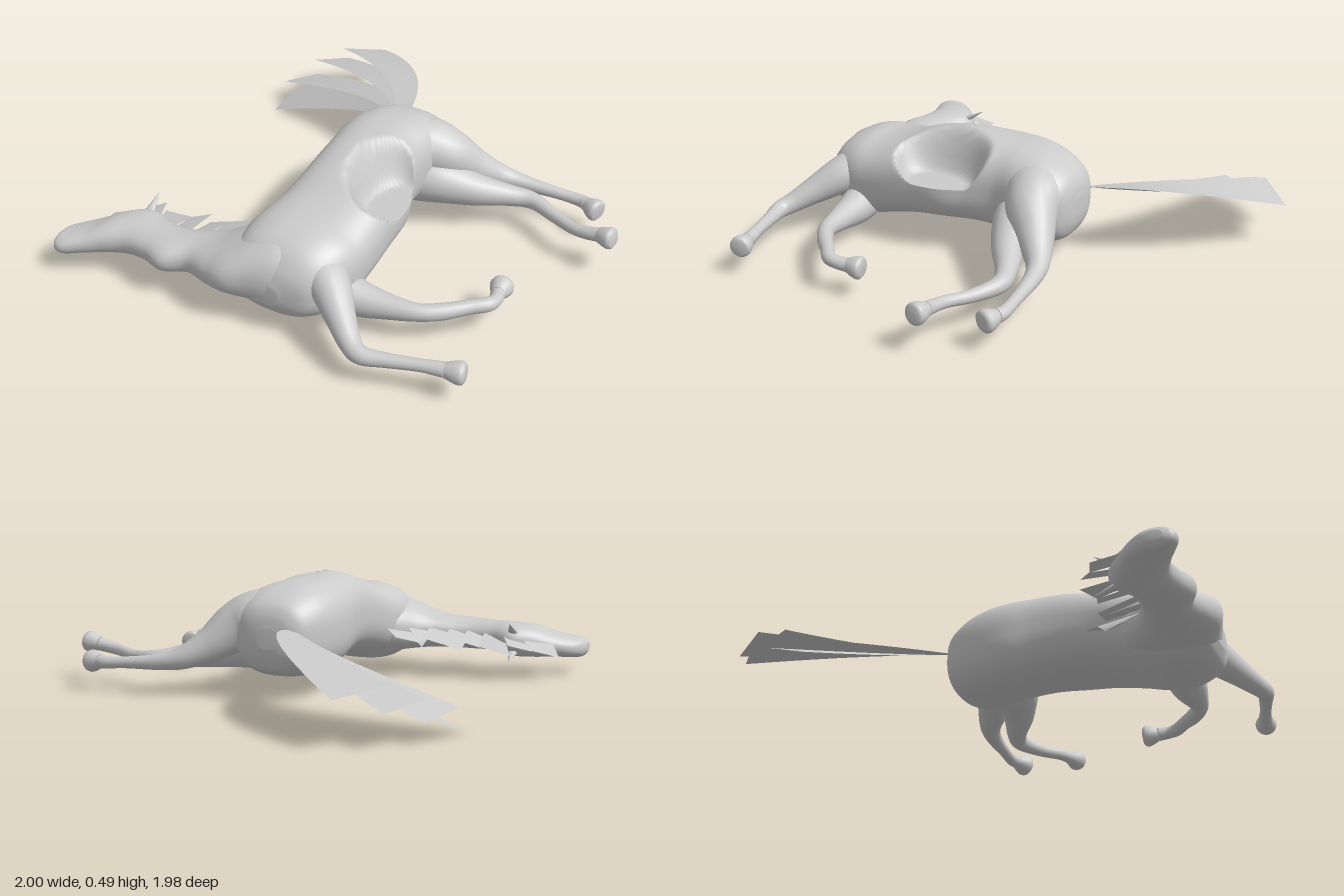
import * as THREE from 'three';

const skin = new THREE.MeshStandardMaterial({ color: 0xcccccc });
const hair = new THREE.MeshStandardMaterial({ color: 0xcccccc, side: THREE.DoubleSide });
const V = (x, y, z) => new THREE.Vector3(x, y, z);
const UP = V(0, 1, 0);

function mesh(name, geometry, material = skin) {
  const m = new THREE.Mesh(geometry, material);
  m.name = name;
  return m;
}

function surface(positions, index) {
  const g = new THREE.BufferGeometry();
  g.setAttribute('position', new THREE.Float32BufferAttribute(positions, 3));
  g.setIndex(index);
  g.computeVertexNormals();
  return g;
}

// Strip of quads between two edges, rows points long
function stripIndex(rows) {
  const index = [];
  for (let i = 0; i < rows - 1; i++) {
    const a = i * 2;
    index.push(a, a + 1, a + 2, a + 1, a + 3, a + 2);
  }
  return index;
}

// Smooth loft of ellipses; stations are { c: centre, w: half width, h: half height }.
// A fixed axis keeps all sections parallel; power < 1 makes them squarer.
function loft(stations, { steps = 64, sides = 32, power = 1, axis, rule } = {}) {
  const path = new THREE.CatmullRomCurve3(stations.map(s => s.c), false, 'catmullrom');
  const size = new THREE.CatmullRomCurve3(stations.map(s => V(s.w, s.h, 0)), false, 'catmullrom');
  const shape = v => Math.sign(v) * Math.abs(v) ** power;
  const pos = [], index = [];
  for (let i = -1; i <= steps + 1; i++) {
    const t = THREE.MathUtils.clamp(i / steps, 0, 1);
    const closed = i < 0 || i > steps;
    const c = path.getPoint(t), s = size.getPoint(t), T = axis ?? path.getTangent(t);
    const side = UP.clone().cross(T).normalize();
    const up = T.clone().cross(side).normalize();
    const w = closed ? 0 : Math.max(s.x, 0.001), h = closed ? 0 : Math.max(s.y, 0.001);
    for (let j = 0; j < sides; j++) {
      const a = (j / sides) * Math.PI * 2;
      const p = c.clone().addScaledVector(side, w * shape(Math.cos(a))).addScaledVector(up, h * shape(Math.sin(a)));
      if (rule) rule(p);
      pos.push(p.x, p.y, p.z);
    }
  }
  for (let i = 0; i < steps + 2; i++) {
    for (let j = 0; j < sides; j++) {
      const a = i * sides + j, b = i * sides + (j + 1) % sides;
      index.push(a, b, a + sides, b, b + sides, a + sides);
    }
  }
  return surface(pos, index);
}

// Torso, lying on its side: z, x min, x max, y min, y max
function torso() {
  const rows = [
    [-0.312, -0.03, 0.06, 0.22, 0.3], [-0.3, -0.09, 0.13, 0.17, 0.36], [-0.265, -0.14, 0.18, 0.12, 0.41],
    [-0.18, -0.185, 0.21, 0.09, 0.455], [-0.08, -0.21, 0.2, 0.09, 0.475], [0.02, -0.215, 0.185, 0.1, 0.48],
    [0.13, -0.2, 0.21, 0.115, 0.487], [0.25, -0.19, 0.255, 0.12, 0.49], [0.38, -0.19, 0.262, 0.11, 0.465],
    [0.5, -0.21, 0.262, 0.085, 0.425], [0.6, -0.235, 0.255, 0.055, 0.405], [0.7, -0.235, 0.24, 0.04, 0.4],
    [0.79, -0.22, 0.2, 0.055, 0.365], [0.85, -0.18, 0.14, 0.09, 0.3], [0.88, -0.12, 0.03, 0.14, 0.23]];
  const stations = rows.map(([z, x0, x1, y0, y1]) =>
    ({ c: V((x0 + x1) / 2, (y0 + y1) / 2, z), w: (x1 - x0) / 2, h: (y1 - y0) / 2 }));
  // Sunken flank behind the ribs
  const hollow = p => {
    const d = Math.hypot((p.x - 0.19) / 0.185, (p.z - 0.27) / 0.27);
    if (d < 1) p.y = Math.min(p.y, 0.3 + 0.19 * THREE.MathUtils.smoothstep(d, 0.5, 1));
  };
  return loft(stations, { steps: 110, sides: 96, power: 0.78, axis: V(0, 0, 1), rule: hollow });
}

// Neck and head: x, z min, z max, y min, y max
function neckAndHead() {
  const rows = [
    [0.1, 0.6, 0.82, 0.09, 0.35], [0, 0.54, 0.875, 0.06, 0.38], [-0.1, 0.49, 0.905, 0.07, 0.365],
    [-0.2, 0.51, 0.93, 0.09, 0.32], [-0.3, 0.615, 0.908, 0.1, 0.275], [-0.4, 0.665, 0.88, 0.105, 0.25],
    [-0.5, 0.69, 0.918, 0.1, 0.24], [-0.6, 0.685, 0.892, 0.1, 0.235], [-0.7, 0.65, 0.885, 0.085, 0.235],
    [-0.79, 0.69, 0.915, 0.08, 0.222], [-0.87, 0.745, 0.955, 0.08, 0.19], [-0.94, 0.795, 0.987, 0.075, 0.17],
    [-0.98, 0.84, 0.98, 0.08, 0.16], [-0.999, 0.88, 0.945, 0.1, 0.14]];
  return loft(rows.map(([x, z0, z1, y0, y1]) =>
    ({ c: V(x, (y0 + y1) / 2, (z0 + z1) / 2), w: (z1 - z0) / 2, h: (y1 - y0) / 2 })),
  { steps: 90, sides: 40, power: 0.9, axis: V(-1, 0, 0) });
}

// Leg with a rounded root and a flared hoof; points are [x, y, z, radius], the last is the sole
function leg(name, points) {
  const g = new THREE.Group();
  g.name = name;
  const [rx, ry, rz, rr] = points[0];
  const sole = points.at(-1), ankle = points.at(-2);
  g.add(mesh('root', new THREE.SphereGeometry(rr, 24, 16).translate(rx, ry, rz)));
  g.add(mesh('limb', loft(points.slice(0, -1).map(([x, y, z, r]) => ({ c: V(x, y, z), w: r, h: r })), { sides: 20 })));
  const a = V(...ankle.slice(0, 3)), b = V(...sole.slice(0, 3));
  const len = a.distanceTo(b), r0 = ankle[3], r1 = sole[3];
  const profile = [[0, 0], [r1 * 0.7, 0], [r1 * 0.95, 0.12], [r1, 0.3], [r1 * 0.88, 0.6], [r0 * 1.05, 0.95], [r0 * 0.8, 1.2], [0, 1.3]]
    .map(([r, t]) => new THREE.Vector2(r, t * len));
  const hoof = mesh('hoof', new THREE.LatheGeometry(profile, 20));
  hoof.position.copy(b);
  hoof.quaternion.setFromUnitVectors(UP, a.clone().sub(b).normalize());
  g.add(hoof);
  return g;
}

// Curved hair blade between two edge curves
function blade(edgeA, edgeB) {
  const pos = [], rows = 17;
  const a = new THREE.QuadraticBezierCurve3(...edgeA), b = new THREE.QuadraticBezierCurve3(...edgeB);
  for (let i = 0; i < rows; i++) pos.push(...a.getPoint(i / (rows - 1)), ...b.getPoint(i / (rows - 1)));
  return surface(pos, stripIndex(rows));
}

function tail() {
  const g = new THREE.Group();
  g.name = 'tail';
  const tips = [
    [V(-0.56, 0.18, -0.99), V(-0.71, 0.22, -0.84)], [V(-0.72, 0.13, -0.91), V(-0.82, 0.165, -0.76)],
    [V(-0.82, 0.08, -0.77), V(-0.89, 0.11, -0.59)], [V(-0.85, 0.07, -0.69), V(-0.89, 0, -0.5)]];
  tips.forEach(([outer, inner], i) => {
    const k = i / 3;
    g.add(mesh('tailBlade', blade(
      [V(-0.075, 0.3, -0.29), V(-0.08 - 0.1 * k, 0.37 - 0.07 * k, -0.66 + 0.14 * k), outer],
      [V(-0.11, 0.28, -0.25), V(-0.17 - 0.02 * k, 0.36 - 0.09 * k, -0.56 + 0.11 * k), inner]), hair));
  });
  return g;
}

// Mane of overlapping flat cards along the crest of the neck
function mane() {
  const g = new THREE.Group();
  g.name = 'mane';
  const rows = [ // root x, z and tip x, z
    [-0.2, 0.47, -0.27, 0.39], [-0.27, 0.56, -0.34, 0.47], [-0.34, 0.65, -0.34, 0.505], [-0.42, 0.68, -0.43, 0.525],
    [-0.5, 0.7, -0.51, 0.535], [-0.58, 0.7, -0.59, 0.565], [-0.67, 0.68, -0.73, 0.55], [-0.75, 0.7, -0.81, 0.615],
    [-0.86, 0.77, -0.92, 0.66]];
  for (let i = 0; i < rows.length - 1; i++) {
    const [ax, az, bx, bz] = rows[i], [cx, cz, dx, dz] = rows[i + 1];
    const y = 0.2 - 0.005 * i, drop = 0.03 + 0.02 * (i % 2);
    g.add(mesh('maneCard', surface(
      [ax, y + 0.015, az, bx, y - drop + 0.02, bz, cx - 0.01, y - 0.01, cz, dx - 0.01, y - drop - 0.01, dz],
      stripIndex(2)), hair));
  }
  return g;
}

function ear(y, tilt) {
  const e = mesh('ear', new THREE.ConeGeometry(0.024, 0.1, 12).translate(0, 0.04, 0));
  e.scale.z = 0.6;
  e.position.set(-0.715, y, 0.675);
  e.quaternion.setFromUnitVectors(UP, V(-0.1, tilt, -0.9).normalize());
  return e;
}

export function createModel() {
  const horse = new THREE.Group();
  horse.name = 'lyingHorse';
  horse.add(mesh('torso', torso()), mesh('neckAndHead', neckAndHead()), tail(), mane());
  horse.add(ear(0.205, 0.5), ear(0.11, -0.3));

  horse.add(leg('upperHindLeg', [
    [0.05, 0.32, -0.12, 0.13], [0.13, 0.315, -0.16, 0.125], [0.21, 0.285, -0.19, 0.108], [0.3, 0.215, -0.255, 0.077],
    [0.4, 0.16, -0.32, 0.048], [0.5, 0.14, -0.345, 0.034], [0.65, 0.13, -0.36, 0.025], [0.74, 0.125, -0.365, 0.027],
    [0.78, 0.125, -0.355, 0.03], [0.845, 0.12, -0.33, 0.048]]));
  horse.add(leg('lowerHindLeg', [
    [0.08, 0.2, -0.08, 0.105], [0.2, 0.2, -0.11, 0.1], [0.35, 0.17, -0.16, 0.07], [0.48, 0.145, -0.225, 0.046],
    [0.58, 0.135, -0.25, 0.036], [0.7, 0.13, -0.2, 0.027], [0.8, 0.14, -0.15, 0.025], [0.87, 0.15, -0.135, 0.027],
    [0.92, 0.16, -0.135, 0.03], [0.992, 0.168, -0.125, 0.046]]));
  horse.add(leg('upperForeLeg', [
    [0.08, 0.25, 0.69, 0.11], [0.19, 0.235, 0.755, 0.085], [0.29, 0.18, 0.84, 0.06], [0.37, 0.135, 0.905, 0.044],
    [0.43, 0.12, 0.93, 0.037], [0.52, 0.12, 0.91, 0.029], [0.64, 0.125, 0.878, 0.025], [0.7, 0.125, 0.862, 0.028],
    [0.74, 0.125, 0.853, 0.03], [0.815, 0.125, 0.835, 0.046]]));
  horse.add(leg('lowerForeLeg', [
    [0.12, 0.15, 0.66, 0.09], [0.25, 0.125, 0.655, 0.075], [0.38, 0.125, 0.645, 0.052], [0.5, 0.13, 0.625, 0.036],
    [0.58, 0.13, 0.575, 0.034], [0.66, 0.135, 0.505, 0.029], [0.715, 0.135, 0.455, 0.029], [0.725, 0.13, 0.41, 0.027],
    [0.715, 0.125, 0.365, 0.03], [0.705, 0.12, 0.298, 0.048]]));
  return horse;
}
